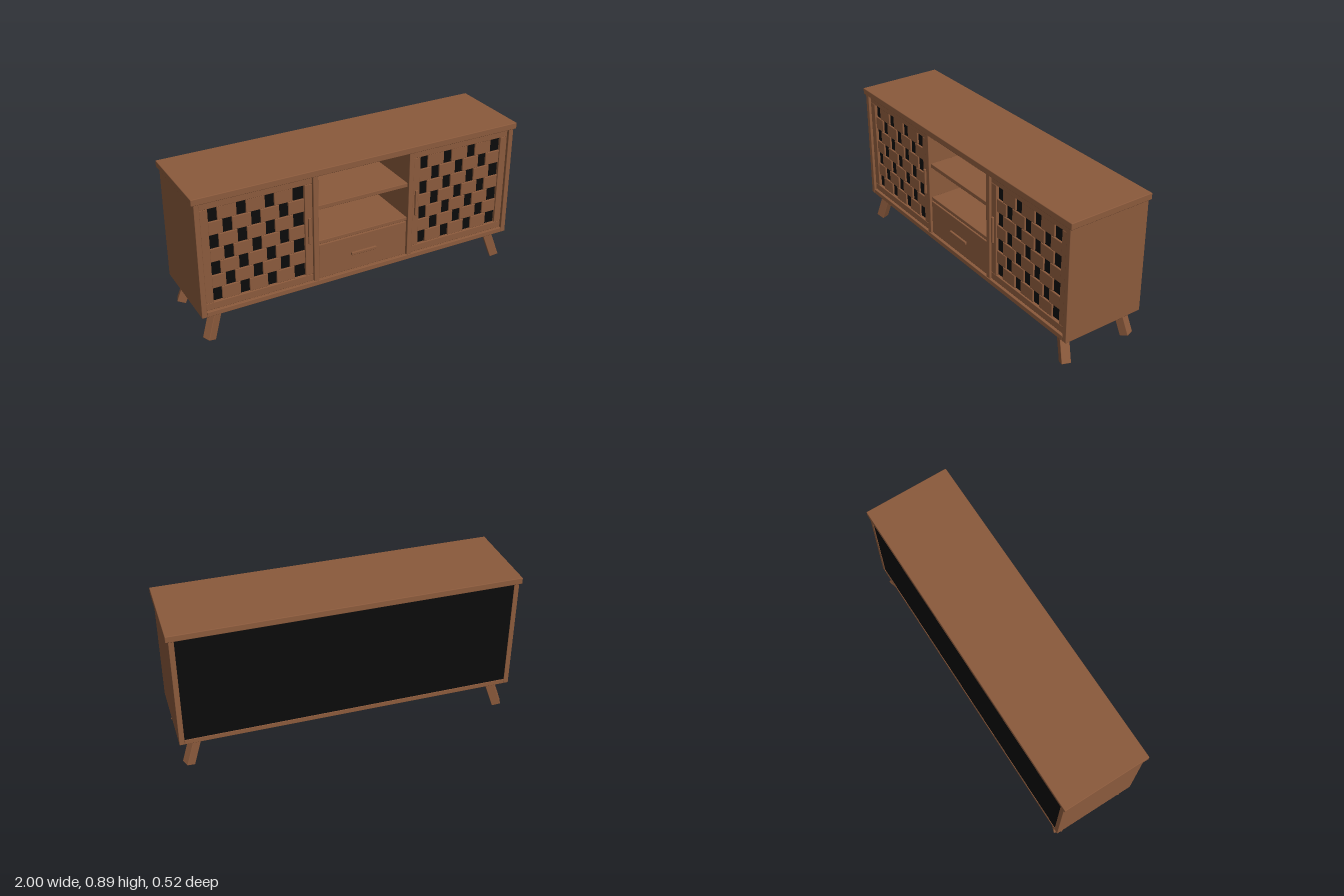
import * as THREE from 'three';
import { RoundedBoxGeometry } from 'three/addons/geometries/RoundedBoxGeometry.js';

const wood = new THREE.MeshStandardMaterial({ name: 'walnut brown', color: 0x8b5a3c });
const black = new THREE.MeshStandardMaterial({ name: 'black', color: 0x0b0b0b });

// Softened board given by its limits on each axis
function board(parent, name, x0, x1, y0, y1, z0, z1, material = wood, radius = 0.003) {
  const geometry = radius
    ? new RoundedBoxGeometry(x1 - x0, y1 - y0, z1 - z0, 1, radius)
    : new THREE.BoxGeometry(x1 - x0, y1 - y0, z1 - z0);
  const mesh = new THREE.Mesh(geometry, material);
  mesh.name = name;
  mesh.position.set((x0 + x1) / 2, (y0 + y1) / 2, (z0 + z1) / 2);
  parent.add(mesh);
  return mesh;
}

// Framed door with a staggered slat weave over a dark panel
function makeDoor(name, x0, x1, handleX) {
  const door = new THREE.Group();
  door.name = name;
  const left = x0 + 0.045, right = x1 - 0.045, bottom = 0.25, top = 0.81;
  board(door, 'doorStile', x0, left, bottom, top, 0.215, 0.24);
  board(door, 'doorStile', right, x1, bottom, top, 0.215, 0.24);
  board(door, 'doorRail', x0, x1, 0.207, bottom, 0.215, 0.24);
  board(door, 'doorRail', x0, x1, top, 0.85, 0.215, 0.24);
  board(door, 'doorBacking', left, right, bottom, top, 0.212, 0.222, black, 0);

  const rows = 7, pitch = 0.16, slat = 0.107, height = (top - bottom) / rows;
  for (let row = 0; row < rows; row++) {
    const start = row % 2 ? -0.027 : 0.053;
    for (let i = 0; i < 4; i++) {
      const a = Math.max(left, left + start + i * pitch);
      const b = Math.min(right, left + start + i * pitch + slat);
      if (b - a < 0.02) continue;
      const y = top - (row + 1) * height;
      board(door, 'wovenSlat', a, b, y + 0.001, y + height - 0.001, 0.222, 0.234);
    }
  }
  board(door, 'doorHandle', handleX - 0.008, handleX + 0.008, 0.45, 0.61, 0.238, 0.252);
  return door;
}

export function createModel() {
  const model = new THREE.Group();
  model.name = 'sideboard';

  // Case
  board(model, 'topBoard', -1, 1, 0.855, 0.893, -0.26, 0.26, wood, 0.004);
  board(model, 'floorBoard', -0.955, 0.955, 0.175, 0.205, -0.253, 0.253);
  board(model, 'backPanel', -0.956, 0.956, 0.204, 0.855, -0.25, -0.242, black, 0);
  board(model, 'innerBack', -0.956, 0.956, 0.204, 0.855, -0.242, -0.235, wood, 0);
  for (const s of [-1, 1]) {
    const span = (a, b) => (s > 0 ? [a, b] : [-b, -a]);
    board(model, 'sidePanel', ...span(0.955, 0.985), 0.175, 0.855, -0.253, 0.253);
    board(model, 'divider', ...span(0.284, 0.315), 0.204, 0.855, -0.24, 0.25);
    model.add(makeDoor(s > 0 ? 'leftDoor' : 'rightDoor', ...span(0.317, 0.953), s * 0.338));
  }

  // Open shelves and drawer
  board(model, 'upperShelf', -0.285, 0.285, 0.64, 0.665, -0.24, 0.235);
  board(model, 'lowerShelf', -0.285, 0.285, 0.425, 0.447, -0.24, 0.235);
  board(model, 'drawerFront', -0.28, 0.28, 0.209, 0.422, 0.215, 0.24);
  board(model, 'drawerHandle', -0.08, 0.08, 0.305, 0.322, 0.238, 0.252);

  // Square legs leaning outward toward the corners
  const tilt = 0.34, yaw = 0.37, length = 0.185;
  for (const sx of [-1, 1]) {
    for (const sz of [-1, 1]) {
      const leg = new THREE.Group();
      leg.name = sz > 0 ? 'frontLeg' : 'backLeg';
      board(leg, 'legPost', -0.026, 0.026, 0, length, -0.026, 0.026);
      leg.position.set(sx * 0.94, 0.009, sz * 0.213);
      leg.rotation.set(0, -sx * sz * yaw, sx * tilt, 'YXZ');
      model.add(leg);
    }
  }
  return model;
}
